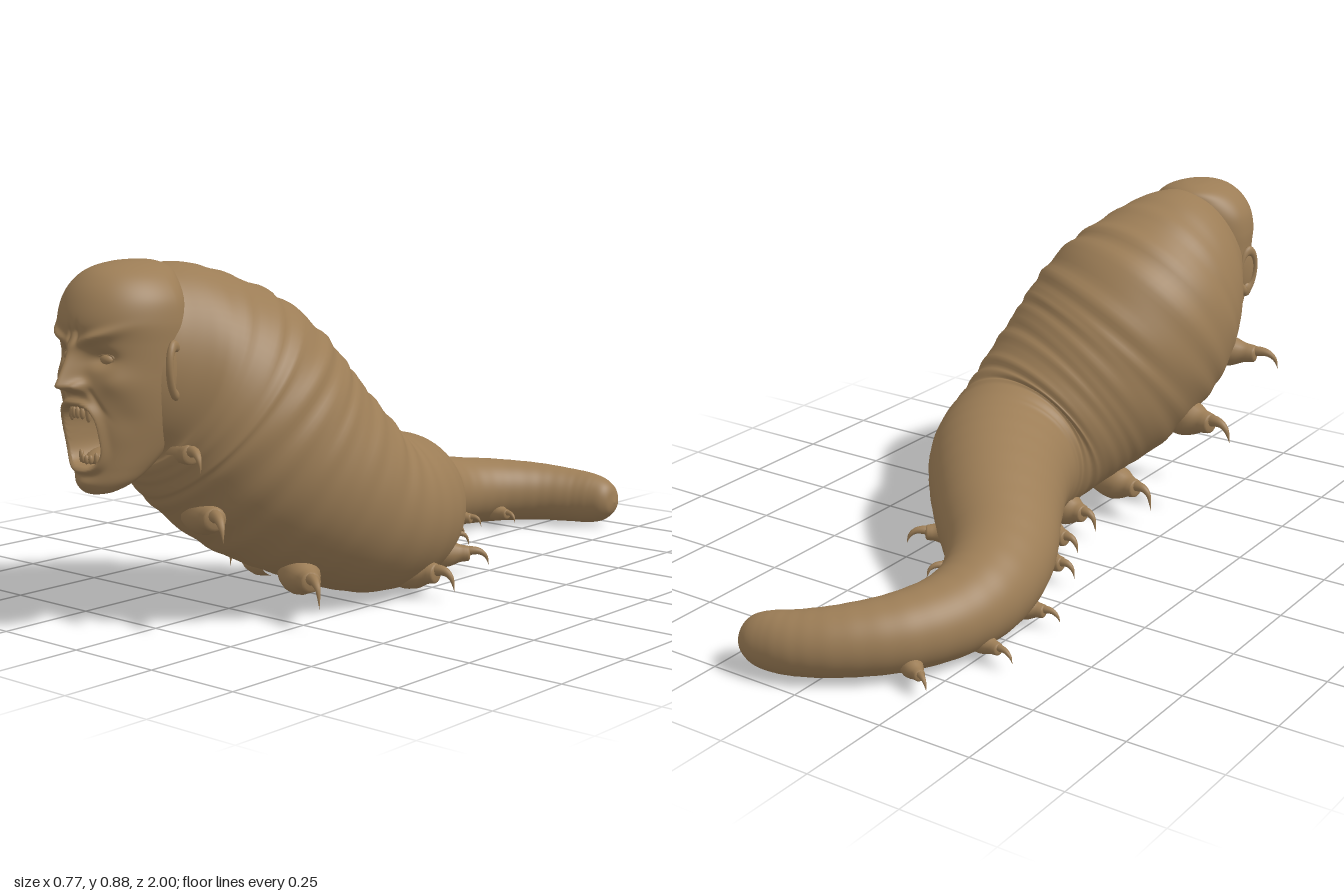
import * as THREE from 'three';

const skin = new THREE.MeshStandardMaterial({ color: 0x9c7d56 });
skin.name = 'brown skin';

const V = (x, y, z) => new THREE.Vector3(x, y, z);
const step = THREE.MathUtils.smoothstep;

// Smooth interpolation through the rows of a small table, t from 0 to 1
function rowAt(rows, t) {
  const n = rows.length - 1;
  const f = THREE.MathUtils.clamp(t, 0, 1) * n;
  const i = Math.min(Math.floor(f), n - 1), k = f - i;
  const r = j => rows[THREE.MathUtils.clamp(j, 0, n)];
  return rows[0].map((_, c) => {
    const a = r(i - 1)[c], b = r(i)[c], d = r(i + 1)[c], e = r(i + 2)[c];
    return b + 0.5 * k * (d - a + k * (2 * a - 5 * b + 4 * d - e + k * (3 * (b - d) + e - a)));
  });
}

// Closed rings of points joined into one smooth skin
function rings(nu, nv, point) {
  const pos = [], idx = [];
  for (let i = 0; i <= nu; i++)
    for (let j = 0; j < nv; j++) pos.push(...point(i / nu, j / nv));
  for (let i = 0; i < nu; i++)
    for (let j = 0; j < nv; j++) {
      const a = i * nv + j, b = i * nv + (j + 1) % nv;
      idx.push(a, b, a + nv, b, b + nv, a + nv);
    }
  const g = new THREE.BufferGeometry();
  g.setAttribute('position', new THREE.Float32BufferAttribute(pos, 3));
  g.setIndex(idx);
  g.computeVertexNormals();
  return g;
}

// Loft along rows of [x, y, z, half width, half height]
function loft(rows, nu, nv, ripple = () => 1) {
  return rings(nu, nv, (u, v) => {
    const [x, y, z, hw, hh] = rowAt(rows, u);
    const p = rowAt(rows, u - 0.01), q = rowAt(rows, u + 0.01);
    const T = V(q[0] - p[0], q[1] - p[1], q[2] - p[2]).normalize();
    const side = V(0, 1, 0).cross(T).normalize();
    const up = T.clone().cross(side);
    const a = v * Math.PI * 2, k = ripple(u, Math.sin(a));
    const o = V(x, y, z)
      .addScaledVector(side, Math.cos(a) * Math.max(hw, 0.0005) * k)
      .addScaledVector(up, Math.sin(a) * Math.max(hh, 0.0005) * k);
    return [o.x, Math.max(o.y, 0), o.z];
  });
}

function add(parent, name, geo) {
  const m = new THREE.Mesh(geo, skin);
  m.name = name;
  parent.add(m);
  return m;
}

function blob(parent, name, p, s) {
  const m = add(parent, name, new THREE.SphereGeometry(1, 20, 14));
  m.position.set(...p);
  m.scale.set(...s);
  return m;
}

// Tail tip to neck
const BODY = [
  [0.2, 0.08, -0.945, 0, 0], [0.19, 0.08, -0.945, 0.035, 0.035],
  [0.165, 0.082, -0.943, 0.055, 0.06], [0.12, 0.085, -0.937, 0.066, 0.074],
  [0.05, 0.09, -0.915, 0.077, 0.08], [-0.04, 0.098, -0.86, 0.086, 0.087],
  [-0.13, 0.105, -0.76, 0.098, 0.095], [-0.183, 0.113, -0.63, 0.11, 0.104],
  [-0.188, 0.13, -0.5, 0.122, 0.12], [-0.13, 0.15, -0.35, 0.142, 0.14],
  [-0.02, 0.18, -0.2, 0.168, 0.168], [0.075, 0.2, -0.06, 0.19, 0.19],
  [0.135, 0.21, 0.06, 0.21, 0.205], [0.145, 0.235, 0.18, 0.23, 0.22],
  [0.11, 0.31, 0.3, 0.26, 0.255], [0.05, 0.41, 0.415, 0.285, 0.29],
  [-0.01, 0.535, 0.525, 0.285, 0.295], [-0.04, 0.62, 0.64, 0.24, 0.26],
  [-0.05, 0.655, 0.74, 0.175, 0.225], [-0.055, 0.67, 0.82, 0.12, 0.17],
  [-0.055, 0.67, 0.85, 0, 0],
];

// Skin folds, strongest on the back behind the head
function folds(u, s) {
  const back = step(u, 0.58, 0.68) * (1 - step(u, 0.82, 0.9)) * (0.4 + 0.6 * Math.max(s, 0));
  return 1 + 0.009 * back * (Math.sin(u * 260 + s) + 0.5 * Math.sin(u * 433 - 2 * s))
    + 0.003 * Math.sin(u * 300) * step(u, 0.1, 0.2) * (1 - step(u, 0.82, 0.9));
}

// Legs: base xyz, claw tip xyz, stump radius; first nine on the left (+x)
const LEGS = [
  [0.02, 0.44, 0.7, 0.18, 0.405, 0.77, 0.042], [0.02, 0.28, 0.62, 0.21, 0.24, 0.73, 0.05],
  [0.15, 0.11, 0.42, 0.32, 0.06, 0.52, 0.045], [0.22, 0.07, 0.1, 0.385, 0.03, 0.08, 0.045],
  [0.14, 0.06, -0.12, 0.27, 0.03, -0.22, 0.036], [0, 0.06, -0.27, 0.09, 0.03, -0.37, 0.03],
  [-0.1, 0.05, -0.42, -0.01, 0.03, -0.48, 0.028], [-0.14, 0.05, -0.58, -0.04, 0.03, -0.6, 0.025],
  [-0.1, 0.05, -0.73, 0.01, 0.03, -0.7, 0.025],
  [-0.18, 0.44, 0.62, -0.385, 0.405, 0.66, 0.042], [-0.15, 0.28, 0.48, -0.35, 0.24, 0.45, 0.05],
  [-0.02, 0.1, 0.33, -0.19, 0.05, 0.3, 0.045], [0.02, 0.07, 0.15, -0.115, 0.03, 0.13, 0.042],
  [-0.02, 0.06, 0, -0.15, 0.03, -0.015, 0.038], [-0.1, 0.06, -0.15, -0.23, 0.03, -0.155, 0.035],
  [-0.2, 0.05, -0.4, -0.335, 0.03, -0.385, 0.03], [-0.22, 0.05, -0.6, -0.36, 0.03, -0.63, 0.027],
  [-0.17, 0.05, -0.79, -0.27, 0.03, -0.85, 0.025],
];

function buildLeg([bx, by, bz, tx, ty, tz, r]) {
  const leg = new THREE.Group();
  const at = (k, lift, w) => [bx + (tx - bx) * k, by + lift * r, bz + (tz - bz) * k, w * r, w * r];
  add(leg, 'legStump', loft([at(-0.1, 0, 0.9), at(0.15, 0, 1.1), at(0.35, 0, 1),
    at(0.52, 0, 0.68), at(0.62, 0, 0.6), at(0.68, 0, 0.5), at(0.7, 0, 0)], 24, 16));
  const tip = at(1, 0, 0);
  tip[1] = ty;
  add(leg, 'claw', loft([at(0.58, 0.1, 0.36), at(0.72, 0.22, 0.32), at(0.85, 0.16, 0.24),
    at(0.95, -0.2, 0.14), tip], 20, 10));
  return leg;
}

// Head sections from chin to crown: y, half width, front z, middle z, back depth
const CX = -0.055;
const HEAD = [
  [0.345, 0, 0.885, 0.88, 0.002], [0.352, 0.04, 0.905, 0.87, 0.03], [0.375, 0.073, 0.917, 0.84, 0.05],
  [0.41, 0.094, 0.92, 0.81, 0.07], [0.46, 0.116, 0.925, 0.775, 0.08], [0.52, 0.135, 0.935, 0.76, 0.1],
  [0.58, 0.146, 0.94, 0.76, 0.1], [0.64, 0.152, 0.935, 0.76, 0.1], [0.7, 0.156, 0.935, 0.76, 0.1],
  [0.75, 0.157, 0.943, 0.76, 0.1], [0.8, 0.148, 0.93, 0.76, 0.1], [0.84, 0.122, 0.905, 0.76, 0.1],
  [0.868, 0.085, 0.868, 0.755, 0.09], [0.883, 0.04, 0.81, 0.75, 0.05], [0.886, 0, 0.752, 0.75, 0.002],
];

// Height of the facial features over the plain head shape
function relief(dx, y) {
  const ax = Math.abs(dx);
  const g = (x0, y0, sx, sy) => Math.exp(-(((ax - x0) / sx) ** 2) - ((y - y0) / sy) ** 2);
  const bridge = y < 0.612 ? step(y, 0.585, 0.61) : Math.max(0, 1 - (y - 0.612) / 0.12);
  const nose = 0.06 * bridge * Math.exp(-((dx / 0.019) ** 2));
  const wings = 0.024 * g(0.026, 0.607, 0.012, 0.013);
  const brow = 0.017 * g(0.06, 0.698 + 0.35 * ax, 0.045, 0.013);
  const socket = 0.022 * g(0.062, 0.67, 0.03, 0.019);
  const cheek = 0.012 * g(0.1, 0.615, 0.03, 0.03) - 0.008 * g(0.1, 0.53, 0.025, 0.04);
  const frown = 0.006 * g(0.012, 0.725, 0.006, 0.02);
  const smileLine = 0.007 * g(0.04 + (0.6 - y) * 0.5, 0.575, 0.007, 0.03);
  const e = Math.cbrt((ax / 0.053) ** 3 + Math.abs((y - 0.487) / 0.07) ** 3);
  const lips = 0.013 * Math.exp(-(((e - 1.15) / 0.11) ** 2));
  const cavity = 0.11 * (1 - step(e, 0.86, 1.02));
  const chin = 0.01 * g(0, 0.375, 0.035, 0.018);
  return nose + wings + brow - socket + cheek - frown - smileLine + lips - cavity + chin;
}

function buildHead() {
  const head = new THREE.Group();
  head.name = 'head';
  add(head, 'face', rings(170, 160, (u, v) => {
    const [y, w, zf, zc, b] = rowAt(HEAD, u);
    const s = 2 * v - 1, a = Math.PI * (0.35 * s + 0.65 * s ** 3); // denser at the front
    const dx = Math.max(w, 0) * Math.sin(a), c = Math.cos(a);
    const z = zc + c * (c > 0 ? zf - zc : b);
    return [CX + dx, y, z + relief(dx, y) * step(c, 0, 0.4)];
  }));
  for (const s of [-1, 1]) {
    // Eyes with heavy lids
    blob(head, 'eyeball', [CX + s * 0.062, 0.667, 0.894], [0.02, 0.014, 0.014]);
    for (const d of [1, -1]) {
      const lid = add(head, d > 0 ? 'upperEyelid' : 'lowerEyelid',
        new THREE.TorusGeometry(0.023, 0.004, 8, 20, Math.PI));
      lid.position.set(CX + s * 0.062, 0.667, 0.9);
      lid.rotation.set(0, s * 0.35, d > 0 ? s * 0.15 : Math.PI);
      lid.scale.y = 0.55;
    }
    // Ears: rim, bowl and lobe
    const ear = new THREE.Group();
    ear.name = 'ear';
    add(ear, 'earRim', new THREE.TorusGeometry(0.036, 0.009, 10, 32)).scale.set(0.8, 1.6, 1);
    blob(ear, 'earBowl', [0, 0, -0.003], [0.027, 0.055, 0.008]);
    blob(ear, 'earLobe', [0.006, -0.056, 0], [0.016, 0.02, 0.009]);
    ear.position.set(CX + s * 0.161, 0.638, 0.775);
    ear.rotation.set(0, s * (Math.PI / 2 + 0.35), s * 0.1);
    head.add(ear);
  }
  // Teeth in two arcs, and the tongue
  for (let i = 0; i < 7; i++) {
    const k = (i - 3) / 3, fang = Math.abs(i - 3) === 2 ? 1.35 : 1;
    blob(head, 'upperTooth', [CX + k * 0.042, 0.543 - 0.006 * k * k, 0.932 - 0.018 * k * k],
      [0.0068, 0.014 * fang, 0.006]);
    blob(head, 'lowerTooth', [CX + k * 0.038, 0.43 + 0.008 * k * k, 0.908 - 0.018 * k * k],
      [0.006, 0.011 * fang, 0.006]);
  }
  blob(head, 'tongue', [CX, 0.435, 0.865], [0.03, 0.018, 0.04]).rotation.x = 0.25;
  return head;
}

export function createModel() {
  const model = new THREE.Group();
  model.name = 'caterpillarCreature';
  add(model, 'body', loft(BODY, 300, 64, folds));
  LEGS.forEach((l, i) => {
    const leg = buildLeg(l);
    leg.name = (i < 9 ? 'leftLeg' : 'rightLeg') + (i % 9 + 1);
    model.add(leg);
  });
  model.add(buildHead());
  return model;
}
